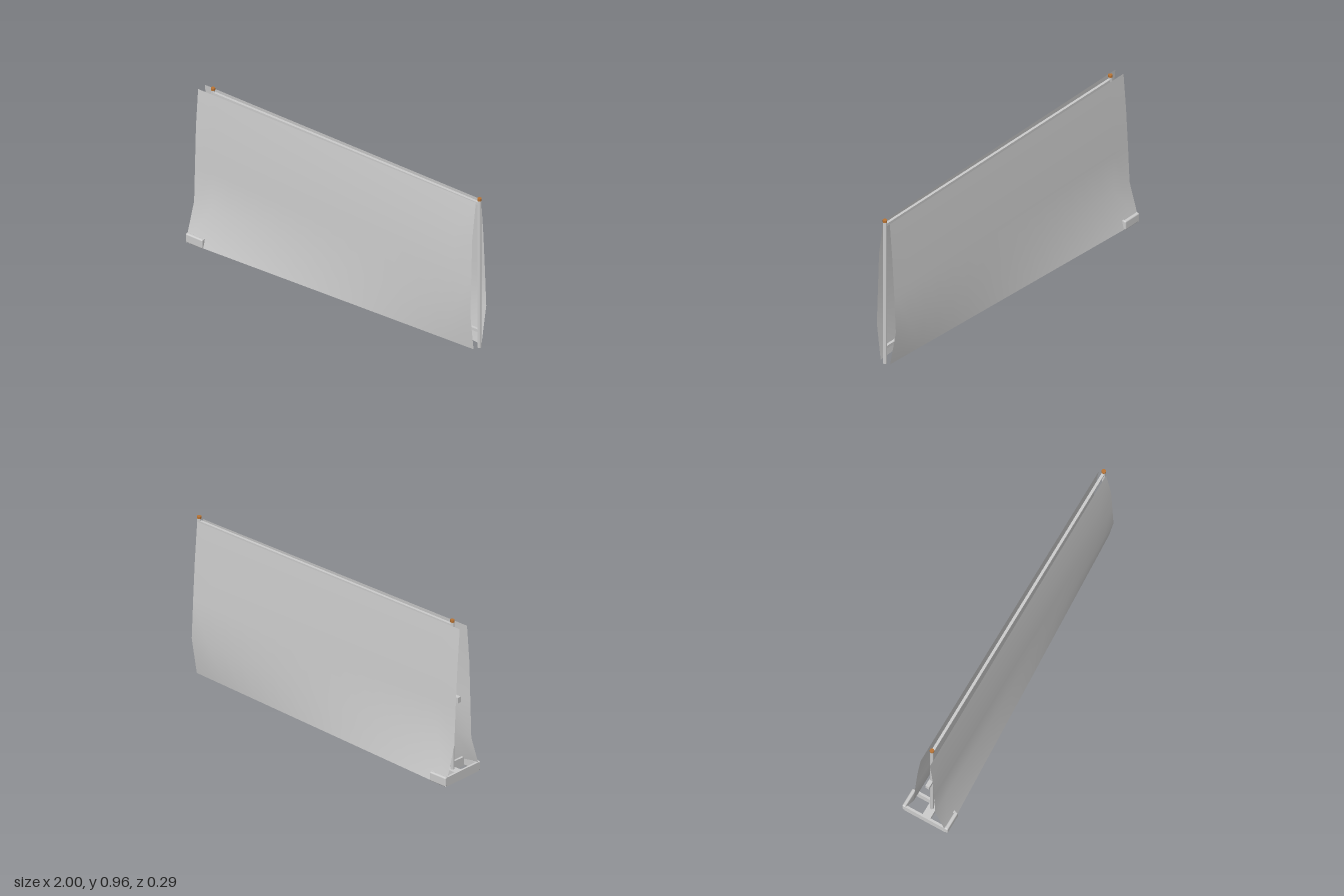
import * as THREE from 'three';
import { RoundedBoxGeometry } from 'three/addons/geometries/RoundedBoxGeometry.js';

const grey = new THREE.MeshStandardMaterial({ color: 0xcccccc });
const faceted = new THREE.MeshStandardMaterial({ color: 0xcccccc, flatShading: true });
const sheetMat = new THREE.MeshStandardMaterial({ color: 0xcccccc, side: THREE.DoubleSide });
const copper = new THREE.MeshStandardMaterial({ color: 0xb87333, flatShading: true });

const X0 = -1, X1 = 0.977;
const LEVELS = [0.937, 0.71, 0.47, 0.23, 0];

function add(parent, name, geometry, material, x, y, z) {
  const mesh = new THREE.Mesh(geometry, material);
  mesh.name = name;
  mesh.position.set(x, y, z);
  parent.add(mesh);
  return mesh;
}

// Hanging sheet: a grid blended between the cross-sections of its two ends
function sheetGeometry(endA, endB) {
  const cols = 16, rows = LEVELS.length - 1;
  const g = new THREE.PlaneGeometry(1, 1, cols, rows);
  const p = g.attributes.position;
  for (let r = 0; r <= rows; r++) {
    for (let c = 0; c <= cols; c++) {
      const t = c / cols;
      p.setXYZ(r * (cols + 1) + c, X0 + (X1 - X0) * t, LEVELS[r], endA[r] + (endB[r] - endA[r]) * t);
    }
  }
  g.computeVertexNormals();
  return g;
}

export function createModel() {
  const model = new THREE.Group();
  model.name = 'fabricBarrier';

  // Front and back sheets, splayed at the foot end and tucked in at the other
  add(model, 'frontSheet', sheetGeometry(
    [0.033, 0.052, 0.06, 0.068, 0.142], [0.02, 0.052, 0.06, 0.068, 0.04]), sheetMat, 0, 0, 0);
  add(model, 'backSheet', sheetGeometry(
    [-0.027, -0.046, -0.06, -0.072, -0.142], [-0.027, -0.046, -0.06, -0.072, -0.03]), sheetMat, 0, 0, 0);

  // Eight-sided posts with copper caps
  const postGeo = new THREE.CylinderGeometry(0.0115, 0.0115, 0.945, 8).rotateY(Math.PI / 8);
  const capGeo = new THREE.CylinderGeometry(0.013, 0.013, 0.014, 8).rotateY(Math.PI / 8);
  for (const [side, x] of [['right', -0.92], ['left', 0.987]]) {
    add(model, side + 'Post', postGeo, faceted, x, 0.4725, 0);
    add(model, side + 'PostCap', capGeo, copper, x, 0.953, 0);
  }

  // Rails between the posts
  for (const [name, y] of [['topRail', 0.925], ['lowerRail', 0.105]]) {
    add(model, name, new THREE.BoxGeometry(1.907, 0.018, 0.016), grey, 0.0335, y, 0);
  }
  // Clamp around the foot-end post
  add(model, 'postClamp', new THREE.BoxGeometry(0.07, 0.035, 0.024), grey, -0.937, 0.478, 0);

  // Foot: an open rectangular frame with rounded side walls
  const foot = new THREE.Group();
  foot.name = 'foot';
  foot.position.set(-0.94, 0, 0);
  model.add(foot);
  for (const s of [-1, 1]) {
    add(foot, 'footSideWall', new RoundedBoxGeometry(0.12, 0.057, 0.022, 3, 0.008), grey, 0, 0.0285, s * 0.135);
    add(foot, 'footEndWall', new THREE.BoxGeometry(0.014, 0.055, 0.26), grey, s * 0.053, 0.0275, 0);
  }
  // Socket block holding the post
  add(foot, 'postSocket', new THREE.BoxGeometry(0.1, 0.03, 0.05), grey, 0, 0.02, 0);

  return model;
}
